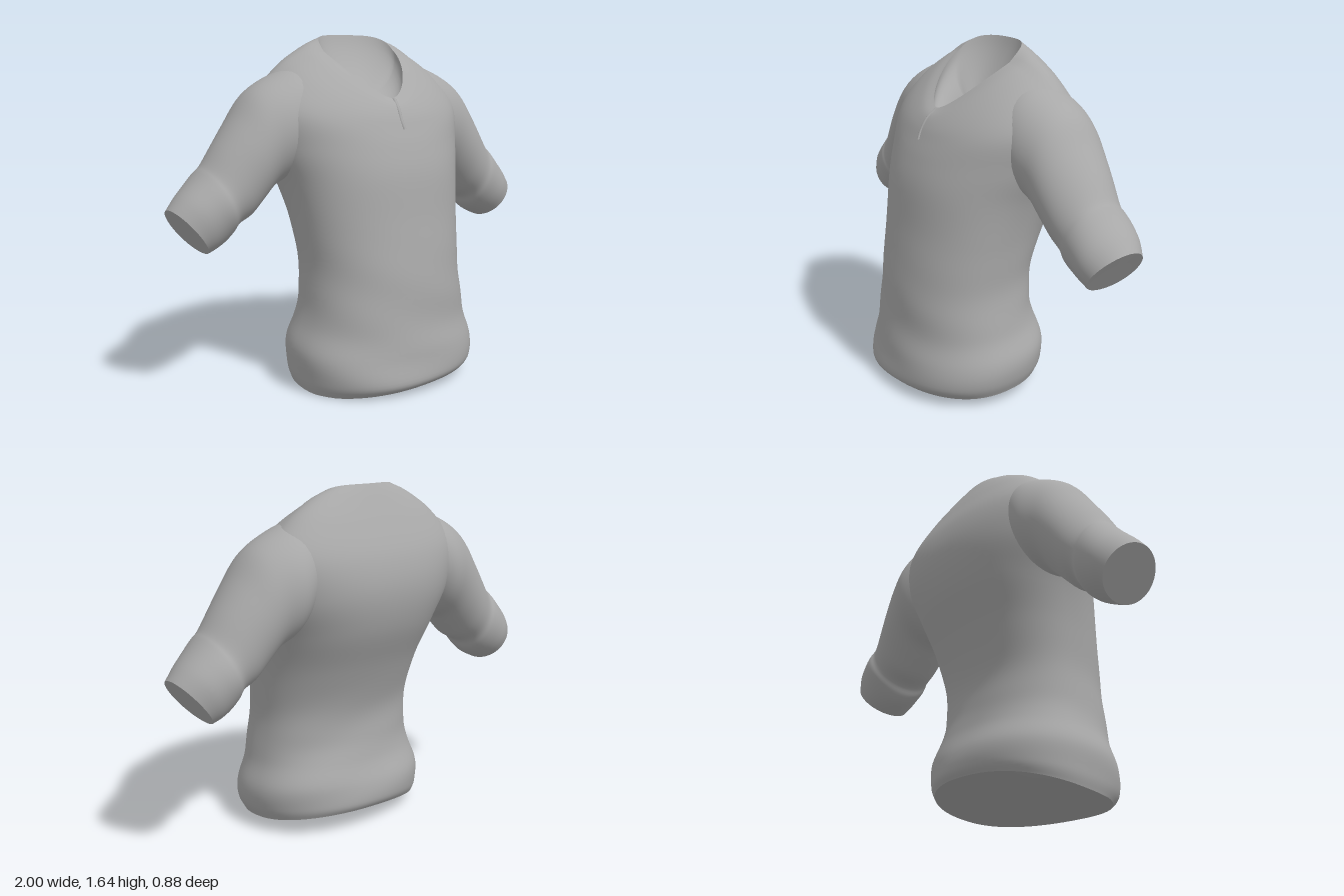
import * as THREE from 'three';

const SIDES = 64;

// Smoothly resample rows of section parameters
function resample(rows, count) {
  const cr = (a, b, c, d, t) => b + 0.5 * t * (c - a + t * (2 * a - 5 * b + 4 * c - d + t * (3 * (b - c) + d - a)));
  const out = [];
  for (let k = 0; k <= count; k++) {
    const u = (k / count) * (rows.length - 1);
    const i = Math.min(Math.floor(u), rows.length - 2), t = u - i;
    const r = j => rows[Math.max(0, Math.min(rows.length - 1, j))];
    out.push(rows[i].map((_, n) => cr(r(i - 1)[n], r(i)[n], r(i + 1)[n], r(i + 2)[n], t)));
  }
  return out;
}

function makeGeometry(points, index) {
  const g = new THREE.BufferGeometry().setFromPoints(points);
  g.setIndex(index);
  g.computeVertexNormals();
  return g;
}

// Skin through closed rings of equal length
function loft(rings) {
  const index = [], n = SIDES;
  for (let r = 0; r < rings.length - 1; r++) {
    for (let i = 0; i < n; i++) {
      const a = r * n + i, b = r * n + (i + 1) % n, c = a + n, d = b + n;
      index.push(a, c, b, b, c, d);
    }
  }
  return makeGeometry(rings.flat(), index);
}

function centreOf(ring) {
  return ring.reduce((s, p) => s.add(p), new THREE.Vector3()).divideScalar(ring.length);
}

// Flat fan closing a ring
function cap(ring, flip) {
  const index = [];
  for (let i = 0; i < SIDES; i++) {
    const j = (i + 1) % SIDES;
    index.push(SIDES, flip ? j : i, flip ? i : j);
  }
  return makeGeometry([...ring, centreOf(ring)], index);
}

const spow = (v, e) => Math.sign(v) * Math.pow(Math.abs(v), e);

// Body section: half width, front y/z, side y/z, back y/z, front and back roundness
function bodyRing([w, fy, fz, sy, sz, by, bz, ef, eb]) {
  const ring = [];
  for (let i = 0; i < SIDES; i++) {
    const a = (i / SIDES) * Math.PI * 2;
    const e = Math.sin(a) >= 0 ? ef : eb;
    const c = spow(Math.cos(a), e), s = spow(Math.sin(a), e);
    let y = sy + (fy - by) / 2 * s + ((fy + by) / 2 - sy) * s * s;
    // uneven hem and soft cloth folds on the lower body
    const low = Math.max(0, 1 - y / 0.8);
    const fold = 1 + 0.012 * low * Math.sin(y * 24 + c * 4 + s * 2);
    y += 0.025 * c * low;
    const z = sz + s * (s >= 0 ? fz - sz : sz - bz) * fold;
    ring.push(new THREE.Vector3(w * c * fold, Math.max(0, y), z));
  }
  return ring;
}

// Sleeve section: top x/y, bottom x/y, front z, back z
function sleeveRing([tx, ty, bx, by, zf, zb], side, k) {
  const ring = [];
  const outer = Math.min(1, Math.max(0, (tx - 0.6) * 5));
  for (let i = 0; i < SIDES; i++) {
    const a = (i / SIDES) * Math.PI * 2;
    const wob = 1 + 0.015 * outer * Math.sin(3 * a + k * 0.9);
    const c = Math.cos(a) * wob, s = Math.sin(a) * wob;
    ring.push(new THREE.Vector3(
      side * Math.min(1, (tx + bx) / 2 + c * (tx - bx) / 2),
      (ty + by) / 2 + c * (ty - by) / 2,
      (zf + zb) / 2 - side * s * (zf - zb) / 2));
  }
  return ring;
}

export function createModel() {
  const cloth = new THREE.MeshStandardMaterial({ color: 0xa8a8a8 });
  cloth.name = 'grey cloth';
  const model = new THREE.Group();
  model.name = 'shirt';
  const add = (name, geometry, parent = model) => {
    const mesh = new THREE.Mesh(geometry, cloth);
    mesh.name = name;
    parent.add(mesh);
  };

  // Body from hem over the broad shoulders to the neckline
  const bodyRings = resample([
    [0.445, 0.03, 0.41, 0.03, 0.06, 0.10, -0.29, 0.9, 0.85],
    [0.465, 0.07, 0.44, 0.09, 0.06, 0.14, -0.31, 0.9, 0.85],
    [0.465, 0.18, 0.425, 0.20, 0.06, 0.23, -0.305, 0.9, 0.85],
    [0.43, 0.30, 0.405, 0.32, 0.06, 0.34, -0.265, 0.9, 0.85],
    [0.405, 0.45, 0.395, 0.45, 0.06, 0.45, -0.245, 0.9, 0.85],
    [0.40, 0.60, 0.38, 0.60, 0.05, 0.60, -0.25, 0.9, 0.85],
    [0.42, 0.80, 0.35, 0.80, 0.02, 0.80, -0.32, 0.9, 0.85],
    [0.455, 1.00, 0.325, 0.97, -0.04, 1.00, -0.41, 0.9, 0.85],
    [0.515, 1.13, 0.29, 1.14, -0.11, 1.17, -0.445, 0.95, 0.85],
    [0.54, 1.22, 0.255, 1.33, -0.14, 1.32, -0.425, 1.0, 0.88],
    [0.42, 1.275, 0.23, 1.475, -0.14, 1.46, -0.36, 1.0, 0.9],
    [0.29, 1.32, 0.20, 1.55, -0.12, 1.58, -0.29, 1.12, 0.92],
    [0.208, 1.35, 0.16, 1.565, -0.10, 1.64, -0.25, 1.25, 0.92],
  ], 72).map(bodyRing);
  add('body', loft(bodyRings));
  add('hemUnderside', cap(bodyRings[0], false));

  // Hollow inside the neckline
  const rim = bodyRings[bodyRings.length - 1];
  const base = centreOf(rim);
  const pit = new THREE.Vector3(0, 1.36, -0.02);
  const hollow = [];
  for (let k = 0; k <= 10; k++) {
    const angle = (k / 10) * Math.PI / 2;
    const mid = base.clone().lerp(pit, Math.sin(angle));
    hollow.push(rim.map(p => p.clone().sub(base).multiplyScalar(Math.max(Math.cos(angle), 0.001)).add(mid)));
  }
  add('neckHollow', loft(hollow));

  // Overlapping edge of the front slit
  const slit = new THREE.CatmullRomCurve3([
    [0.005, 1.345, 0.165], [-0.006, 1.30, 0.211], [-0.01, 1.25, 0.238], [-0.005, 1.21, 0.256],
  ].map(p => new THREE.Vector3(...p)));
  add('frontSlit', new THREE.TubeGeometry(slit, 24, 0.009, 8));

  // Sleeves with rolled cuffs, rooted inside the shoulders
  const sleeveRows = resample([
    [0.24, 1.46, 0.30, 1.15, 0.00, -0.30],
    [0.35, 1.49, 0.38, 1.04, 0.06, -0.35],
    [0.47, 1.455, 0.44, 0.98, 0.075, -0.375],
    [0.59, 1.385, 0.51, 0.94, 0.06, -0.355],
    [0.68, 1.27, 0.57, 0.88, 0.05, -0.34],
    [0.76, 1.16, 0.63, 0.82, 0.035, -0.325],
    [0.82, 1.07, 0.69, 0.785, 0.022, -0.312],
    [0.85, 1.04, 0.72, 0.745, 0.025, -0.32],
    [0.89, 1.00, 0.755, 0.715, 0.02, -0.32],
    [0.95, 0.94, 0.80, 0.69, 0.01, -0.31],
    [1.00, 0.88, 0.84, 0.67, -0.01, -0.285],
  ], 50);
  for (const [name, side] of [['leftSleeve', 1], ['rightSleeve', -1]]) {
    const sleeve = new THREE.Group();
    sleeve.name = name;
    model.add(sleeve);
    const rings = sleeveRows.map((row, k) => sleeveRing(row, side, k * 0.3));
    add('sleeveTube', loft(rings), sleeve);
    add('cuffEnd', cap(rings[rings.length - 1], true), sleeve);
  }
  return model;
}
